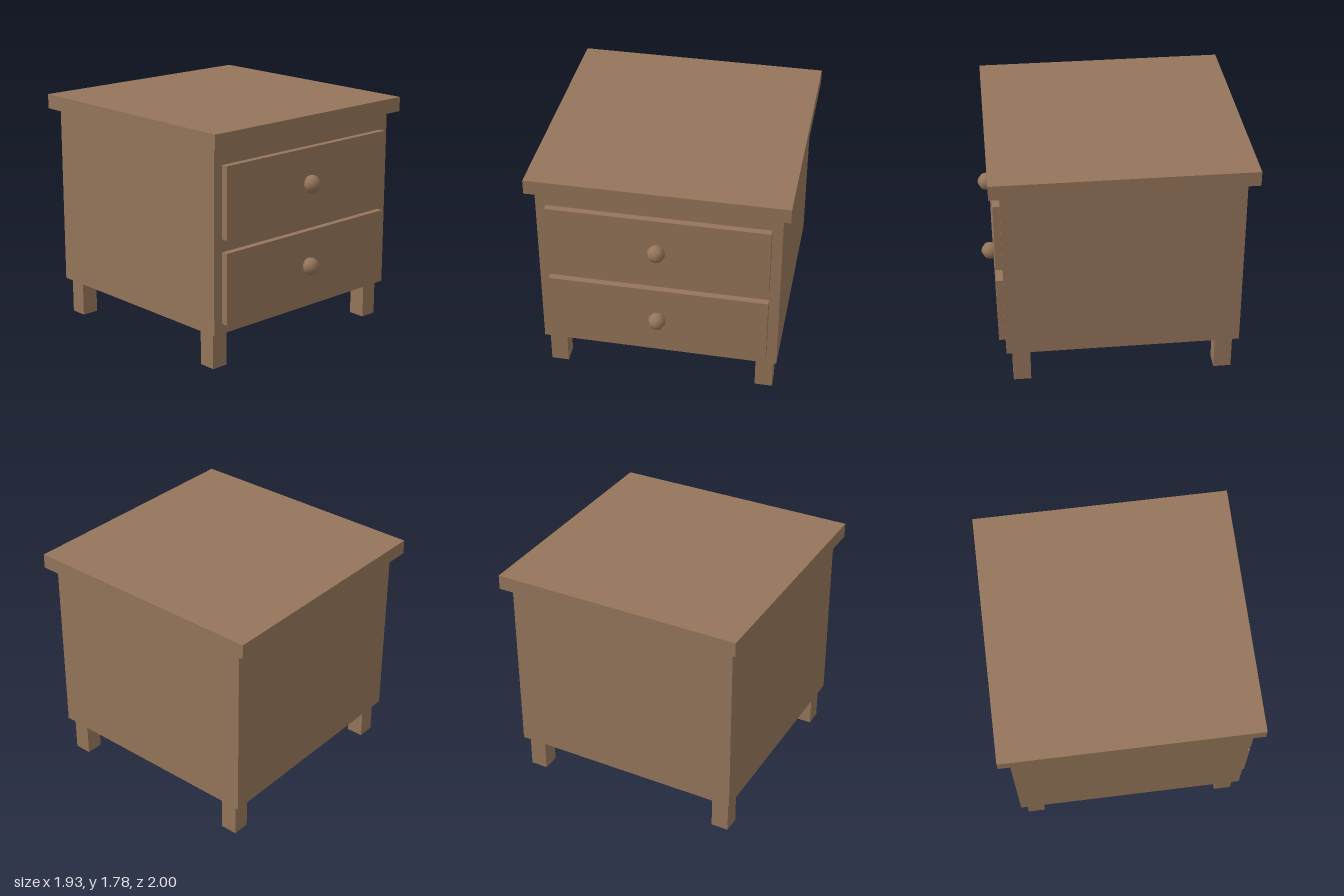
import * as THREE from 'three';

export function createModel() {
  const model = new THREE.Group();
  model.name = 'nightstand';
  const wood = new THREE.MeshStandardMaterial({ color: 0x94755a });
  wood.name = 'brown wood';

  function add(name, geometry, x, y, z) {
    const mesh = new THREE.Mesh(geometry, wood);
    mesh.name = name;
    mesh.position.set(x, y, z);
    model.add(mesh);
  }

  // Box given by its limits on each axis
  function box(name, x0, x1, y0, y1, z0, z1) {
    add(name, new THREE.BoxGeometry(x1 - x0, y1 - y0, z1 - z0),
      (x0 + x1) / 2, (y0 + y1) / 2, (z0 + z1) / 2);
  }

  // Cabinet and overhanging top
  box('cabinetBody', -0.905, 0.905, 0.275, 1.665, -0.92, 0.855);
  box('tableTop', -0.963, 0.963, 1.665, 1.777, -1, 0.933);

  // Two drawers, each with a round knob
  const knob = new THREE.SphereGeometry(0.067, 8, 16);
  for (const [name, y] of [['lower', 0.62], ['upper', 1.257]]) {
    box(name + 'DrawerFront', -0.828, 0.828, y - 0.27, y + 0.27, 0.855, 0.905);
    add(name + 'Knob', knob, 0, y, 0.933);
  }

  // Four square legs
  for (const [side, x] of [['left', 0.808], ['right', -0.808]]) {
    for (const [end, z] of [['Front', 0.742], ['Back', -0.806]]) {
      box(side + end + 'Leg', x - 0.067, x + 0.067, 0, 0.275, z - 0.067, z + 0.067);
    }
  }
  return model;
}
